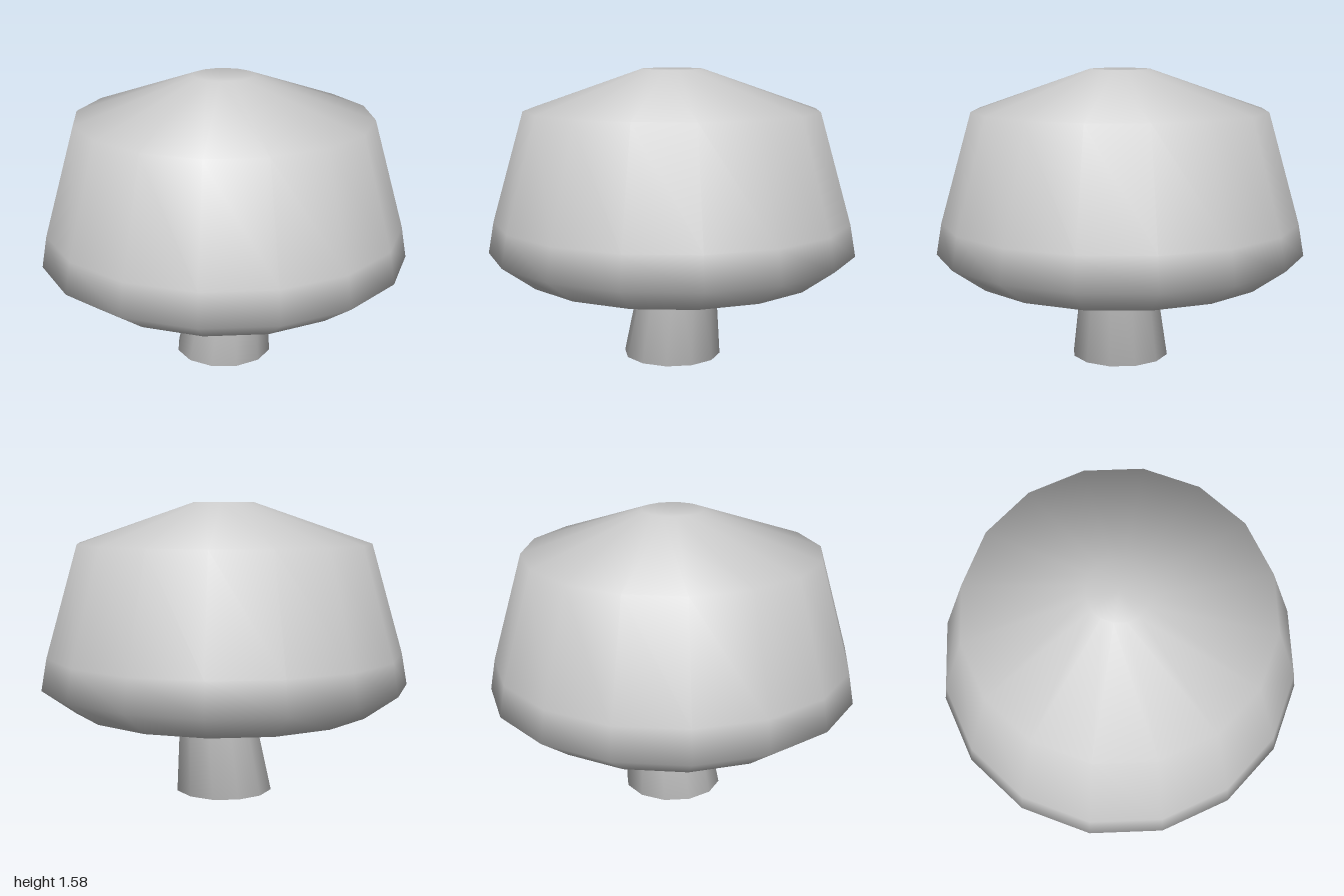
import * as THREE from 'three';
import { mergeVertices } from 'three/addons/utils/BufferGeometryUtils.js';

// Smooth surface of revolution; lean(y) shifts each ring along x
function turned(name, profile, sides, lean = () => 0) {
  let geometry = new THREE.LatheGeometry(profile.map(([r, y]) => new THREE.Vector2(r, y)), sides);
  const pos = geometry.attributes.position;
  for (let i = 0; i < pos.count; i++) pos.setX(i, pos.getX(i) + lean(pos.getY(i)));
  geometry.deleteAttribute('uv');
  geometry.deleteAttribute('normal');
  geometry = mergeVertices(geometry, 1e-4);
  geometry.computeVertexNormals();
  const mesh = new THREE.Mesh(geometry, new THREE.MeshStandardMaterial({ color: 0xcccccc }));
  mesh.name = name;
  return mesh;
}

export function createModel() {
  const group = new THREE.Group();
  group.name = 'mushroom';

  // Cap: hollow underside, rounded lip, steep wall, shallow roof with a small dip
  group.add(turned('cap', [
    [0, 0.76], [0.15, 0.75], [0.42, 0.67], [0.62, 0.52], [0.73, 0.45],
    [0.82, 0.47], [1, 0.6], [0.97, 0.77], [0.8, 1.36], [0.165, 1.58], [0, 1.565],
  ], 16));

  // Stem: tapers upward, then flares and bends sideways into the cap
  const lean = (y) => (y < 0.6 ? y * 0.09 : 0.054 + (y - 0.6) * 0.38);
  group.add(turned('stem', [
    [0, 0], [0.268, 0], [0.188, 0.6], [0.23, 0.82], [0, 0.82],
  ], 12, lean));

  return group;
}
